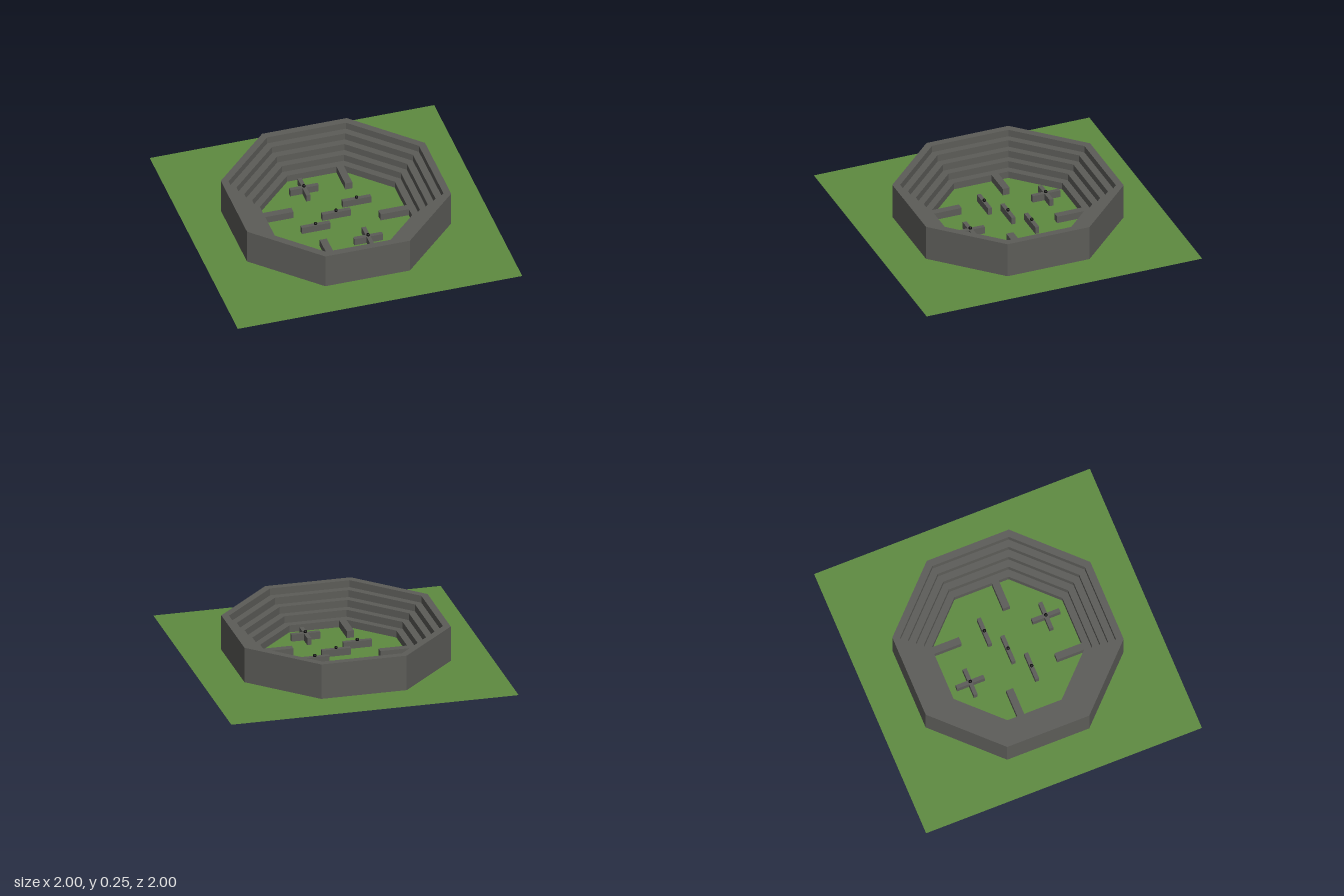
import * as THREE from 'three';

const STEP = 0.05; // tread depth and riser height of the terraces

export function createModel() {
  const model = new THREE.Group();
  const stone = new THREE.MeshStandardMaterial({ color: 0x5c5c58, flatShading: true });
  const grass = new THREE.MeshStandardMaterial({ color: 0x5e8b40, side: THREE.DoubleSide });
  const black = new THREE.MeshStandardMaterial({ color: 0x080808 });

  const add = (name, geometry, material, x = 0, y = 0, z = 0, parent = model) => {
    const mesh = new THREE.Mesh(geometry, material);
    mesh.name = name;
    mesh.position.set(x, y, z);
    parent.add(mesh);
    return mesh;
  };

  // Flat square of grass
  add('ground', new THREE.PlaneGeometry(2, 2).rotateX(-Math.PI / 2), grass);

  // Octagonal stand: plain outer wall, five steps down to the arena
  const corner = 1 / Math.cos(Math.PI / 8); // flat-to-corner radius
  const outer = 0.718, inner = 0.474, tread = (outer - inner) / 5;
  const profile = [[inner, 0], [outer, 0], [outer, 5 * STEP]];
  for (let i = 4; i >= 0; i--) {
    const r = inner + i * tread;
    profile.push([r, (i + 1) * STEP], [r, i * STEP]);
  }
  const points = profile.map(([r, y]) => new THREE.Vector2(r * corner, y));
  add('steppedStand', new THREE.LatheGeometry(points, 8, Math.PI / 8), stone);

  // Low walls reaching in from the four straight sides, mirrored through the centre
  for (const s of [1, -1]) {
    add('sideWall', new THREE.BoxGeometry(0.2, STEP, 0.05), stone, s * 0.375, STEP / 2, s * 0.1);
    add('endWall', new THREE.BoxGeometry(0.05, STEP, 0.2), stone, s * 0.175, STEP / 2, -s * 0.375);
  }

  // Free-standing barriers, each with a small black ball on top
  const addBarrier = (name, x, z, crossed) => {
    const barrier = new THREE.Group();
    barrier.name = name;
    barrier.position.set(x, 0, z);
    add('beam', new THREE.BoxGeometry(0.2, STEP, 0.028), stone, 0, STEP / 2, 0, barrier);
    if (crossed) {
      for (const s of [1, -1]) {
        add('crossArm', new THREE.BoxGeometry(0.028, STEP, 0.086), stone, 0, STEP / 2, s * 0.057, barrier);
      }
    }
    add('ball', new THREE.SphereGeometry(0.012, 12, 8), black, 0, STEP + 0.006, 0, barrier);
    model.add(barrier);
  };
  addBarrier('centreBarrier', 0, 0, false);
  for (const s of [1, -1]) {
    addBarrier('straightBarrier', s * 0.175, -s * 0.1, false);
    addBarrier('crossBarrier', s * 0.125, s * 0.325, true);
  }

  return model;
}
